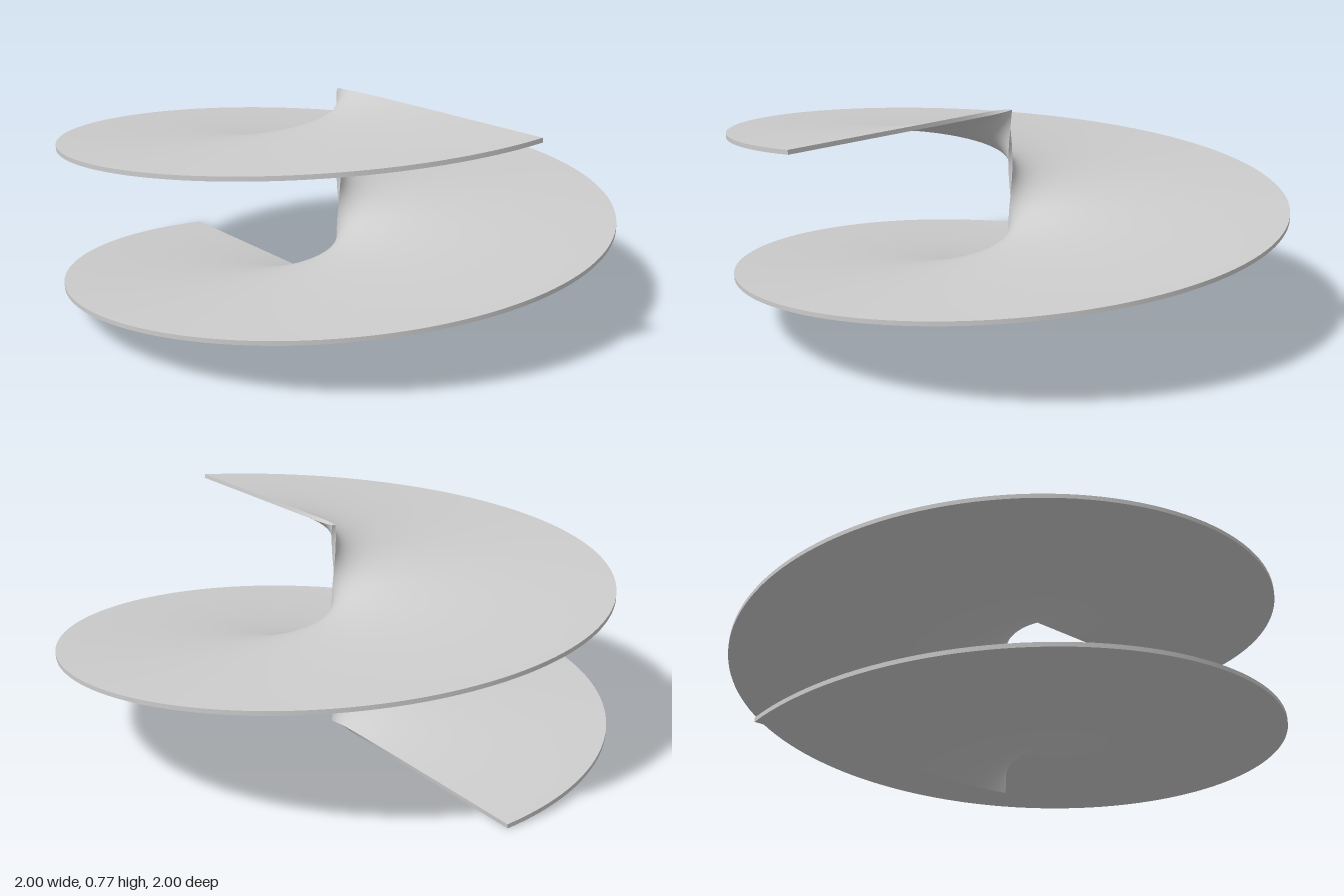
import * as THREE from 'three';
import { ParametricGeometry } from 'three/addons/geometries/ParametricGeometry.js';

const TURN = 3 * Math.PI;   // one and a half turns
const HEIGHT = 0.77;
const THICK = 0.015;
const CLIMB = (HEIGHT - THICK) / TURN; // rise per radian

// Point on the ramp: t along the turn, s out from the axis, k from underside to top (all 0..1)
function rampPoint(t, s, k, target) {
  const a = t * TURN;
  const r = Math.pow(s, 1.5); // finer rows near the axis
  const sin = Math.sin(a), cos = Math.cos(a);
  const offset = (k - 0.5) * THICK / Math.hypot(CLIMB, r); // along the surface normal
  target.set(
    -r * cos - CLIMB * sin * offset,
    THICK / 2 + CLIMB * a + r * offset,
    r * sin - CLIMB * cos * offset
  );
}

export function createModel() {
  const group = new THREE.Group();
  group.name = 'spiralRamp';
  const material = new THREE.MeshStandardMaterial({ color: 0xcccccc, side: THREE.DoubleSide });
  const T = 216, R = 32;

  const add = (name, map, uSteps, vSteps) => {
    const mesh = new THREE.Mesh(new ParametricGeometry(map, uSteps, vSteps), material);
    mesh.name = name;
    group.add(mesh);
  };

  // Broad faces
  add('topSurface', (u, v, p) => rampPoint(v, u, 1, p), R, T);
  add('underside', (u, v, p) => rampPoint(u, v, 0, p), T, R);
  // Long edges
  add('outerRim', (u, v, p) => rampPoint(u, 1, v, p), T, 1);
  add('innerEdge', (u, v, p) => rampPoint(v, 0, u, p), 1, T);
  // Straight end edges
  add('lowerEnd', (u, v, p) => rampPoint(0, u, v, p), R, 1);
  add('upperEnd', (u, v, p) => rampPoint(1, v, u, p), 1, R);

  return group;
}
